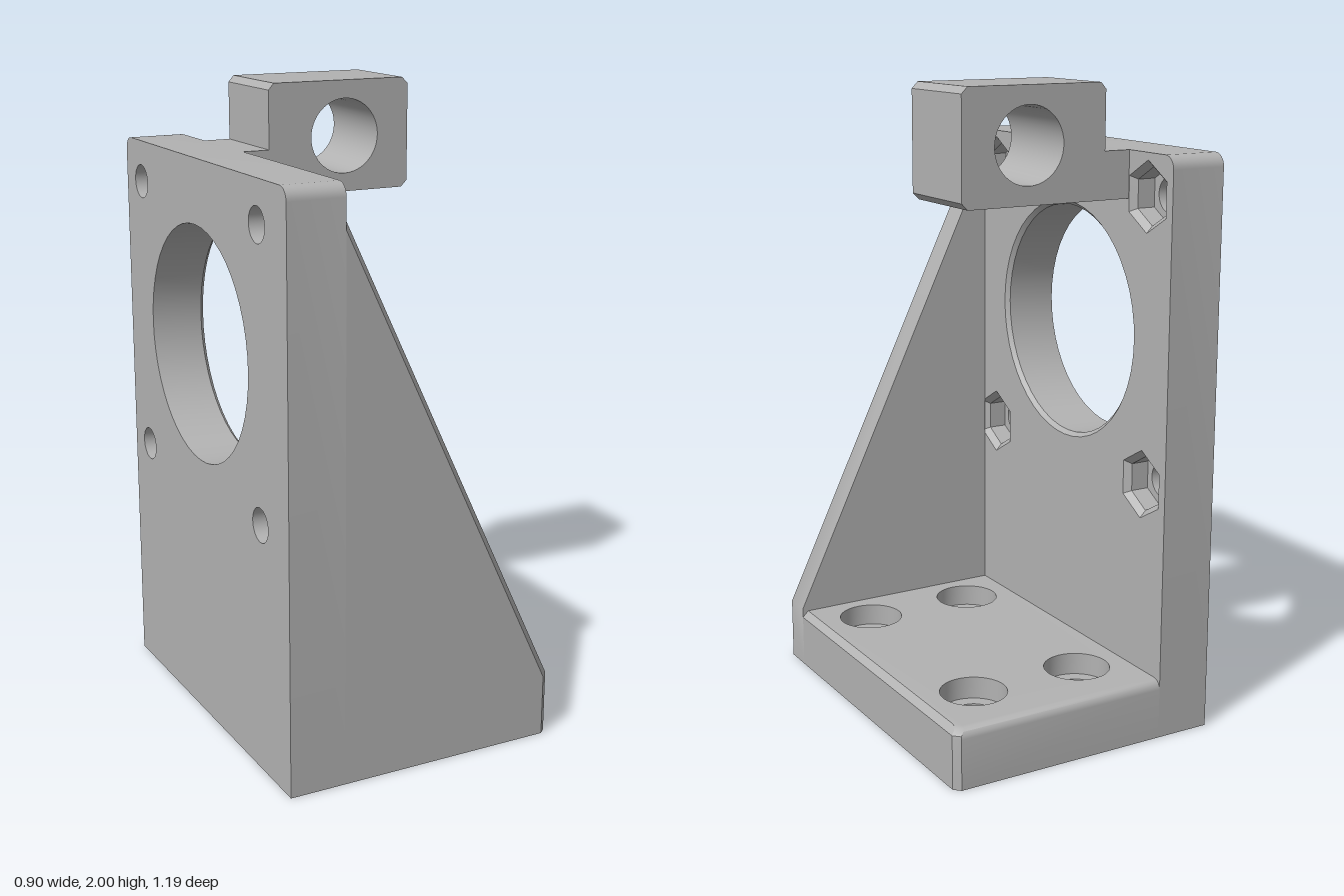
import * as THREE from 'three';
import { toCreasedNormals } from 'three/addons/utils/BufferGeometryUtils.js';

const SEG = 48;

// Each layer is [points, height]; circles and hexagons share a point count so they can be lofted together.
function circle(cx, cy, r) {
  return Array.from({ length: SEG }, (_, i) => {
    const a = (i / SEG) * Math.PI * 2;
    return [cx + r * Math.cos(a), cy + r * Math.sin(a)];
  });
}

function hexagon(cx, cy, r) {
  const per = SEG / 6;
  return Array.from({ length: SEG }, (_, i) => {
    const t = (i % per) / per;
    const a = Math.floor(i / per) * Math.PI / 3 + Math.PI / 6;
    const b = a + Math.PI / 3;
    return [
      cx + r * (Math.cos(a) * (1 - t) + Math.cos(b) * t),
      cy + r * (Math.sin(a) * (1 - t) + Math.sin(b) * t)
    ];
  });
}

// Closed solid lofted along local z, with stepped holes running from bottom to top.
function drilledSolid(outer, holes = []) {
  const pos = [];
  const put = (p, w) => pos.push(p[0], p[1], w);

  const walls = (layers, inward) => {
    for (let k = 0; k < layers.length - 1; k++) {
      const [a, wa] = layers[k];
      const [b, wb] = layers[k + 1];
      for (let i = 0; i < a.length; i++) {
        const j = (i + 1) % a.length;
        const quad = [[a[i], wa], [a[j], wa], [b[j], wb], [b[i], wb]];
        if (inward) quad.reverse();
        for (const n of [0, 1, 2, 0, 2, 3]) put(...quad[n]);
      }
    }
  };

  const cap = (end, flip) => {
    const [contour, w] = outer.at(end);
    const loops = [contour, ...holes.map(h => h.at(end)[0])];
    const vecs = loops.map(l => l.map(p => new THREE.Vector2(p[0], p[1])));
    const all = loops.flat();
    for (const f of THREE.ShapeUtils.triangulateShape(vecs[0], vecs.slice(1))) {
      for (const n of flip ? [f[2], f[1], f[0]] : f) put(all[n], w);
    }
  };

  walls(outer, false);
  holes.forEach(h => walls(h, true));
  cap(0, true);
  cap(-1, false);

  const geo = new THREE.BufferGeometry();
  geo.setAttribute('position', new THREE.Float32BufferAttribute(pos, 3));
  // Enlarged while creasing so that small details keep separate vertices
  geo.scale(50, 50, 50);
  const creased = toCreasedNormals(geo, 0.5);
  creased.scale(0.02, 0.02, 0.02);
  return creased;
}

export function createModel() {
  const group = new THREE.Group();
  const grey = new THREE.MeshStandardMaterial({ color: 0xb2b2b2 });
  grey.name = 'grey';

  const add = (name, geo) => {
    const mesh = new THREE.Mesh(geo, grey);
    mesh.name = name;
    group.add(mesh);
  };

  // Upright plate: local x is -z, local z is x
  const back = -0.45, face = -0.27, half = 0.595, round = 0.04;
  const plate = [[-half, 0], [half, 0]];
  for (const [side, start] of [[1, 0], [-1, Math.PI / 2]]) {
    for (let i = 0; i <= 6; i++) {
      const a = start + (i / 6) * Math.PI / 2;
      plate.push([
        side * (half - round) + round * Math.cos(a),
        1.8 - round + round * Math.sin(a)
      ]);
    }
  }
  // Large bore with a chamfered rim
  const plateHoles = [[
    [circle(0.035, 1.23, 0.37), back],
    [circle(0.035, 1.23, 0.37), face - 0.013],
    [circle(0.035, 1.23, 0.383), face]
  ]];
  // Bolt holes with hexagonal nut pockets
  for (const u of [-0.405, 0.47]) {
    for (const y of [0.79, 1.67]) {
      plateHoles.push([
        [circle(u, y, 0.053), back],
        [circle(u, y, 0.053), face - 0.08],
        [hexagon(u, y, 0.087), face - 0.08],
        [hexagon(u, y, 0.087), face - 0.02],
        [hexagon(u, y, 0.108), face]
      ]);
    }
  }
  add('uprightPlate', drilledSolid([[plate, back], [plate, face]], plateHoles).rotateY(Math.PI / 2));

  // Base plate: local y is -z, local z is y
  const baseRing = (ix, iz) => [
    [face, -0.485], [0.45 - ix, -0.485], [0.45 - ix, 0.575 - iz],
    [0.43 - ix, half - iz], [face, half - iz]
  ];
  const baseLayers = [[baseRing(0, 0), 0]];
  for (const deg of [0, 19.47, 43, 66, 90]) {
    const a = THREE.MathUtils.degToRad(deg);
    const y = 0.16 + 0.03 * Math.sin(a);
    baseLayers.push([baseRing(Math.max(0, y - 0.17), 0.03 * (1 - Math.cos(a))), y]);
  }
  // Counterbored mounting holes
  const baseHoles = [];
  for (const x of [-0.108, 0.265]) {
    for (const v of [-0.333, 0.374]) {
      baseHoles.push([
        [circle(x, v, 0.062), 0],
        [circle(x, v, 0.062), 0.12],
        [circle(x, v, 0.104), 0.12],
        [circle(x, v, 0.104), 0.19]
      ]);
    }
  }
  add('basePlate', drilledSolid(baseLayers, baseHoles).rotateX(-Math.PI / 2));

  // Sloping side gusset with a chamfered outer edge
  const gusset = [[face, 0], [0.45, 0], [0.45, 0.2], [face, 1.71]];
  const gussetInset = [[face, 0], [0.43, 0], [0.43, 0.195], [face, 1.67]];
  add('sideGusset', drilledSolid([[gusset, 0.485], [gusset, 0.577], [gussetInset, half]]));

  // Overhanging block with its neck and cross bore
  const block = [
    [face, 1.655], [0.28, 1.655], [0.3, 1.675], [0.3, 1.98], [0.28, 2],
    [-0.165, 2], [-0.183, 1.98], [-0.183, 1.8], [face, 1.8]
  ];
  const bore = circle(0.077, 1.828, 0.116);
  add('topBlock', drilledSolid(
    [[block, -0.374], [block, -0.077]],
    [[[bore, -0.374], [bore, -0.077]]]
  ));

  return group;
}
